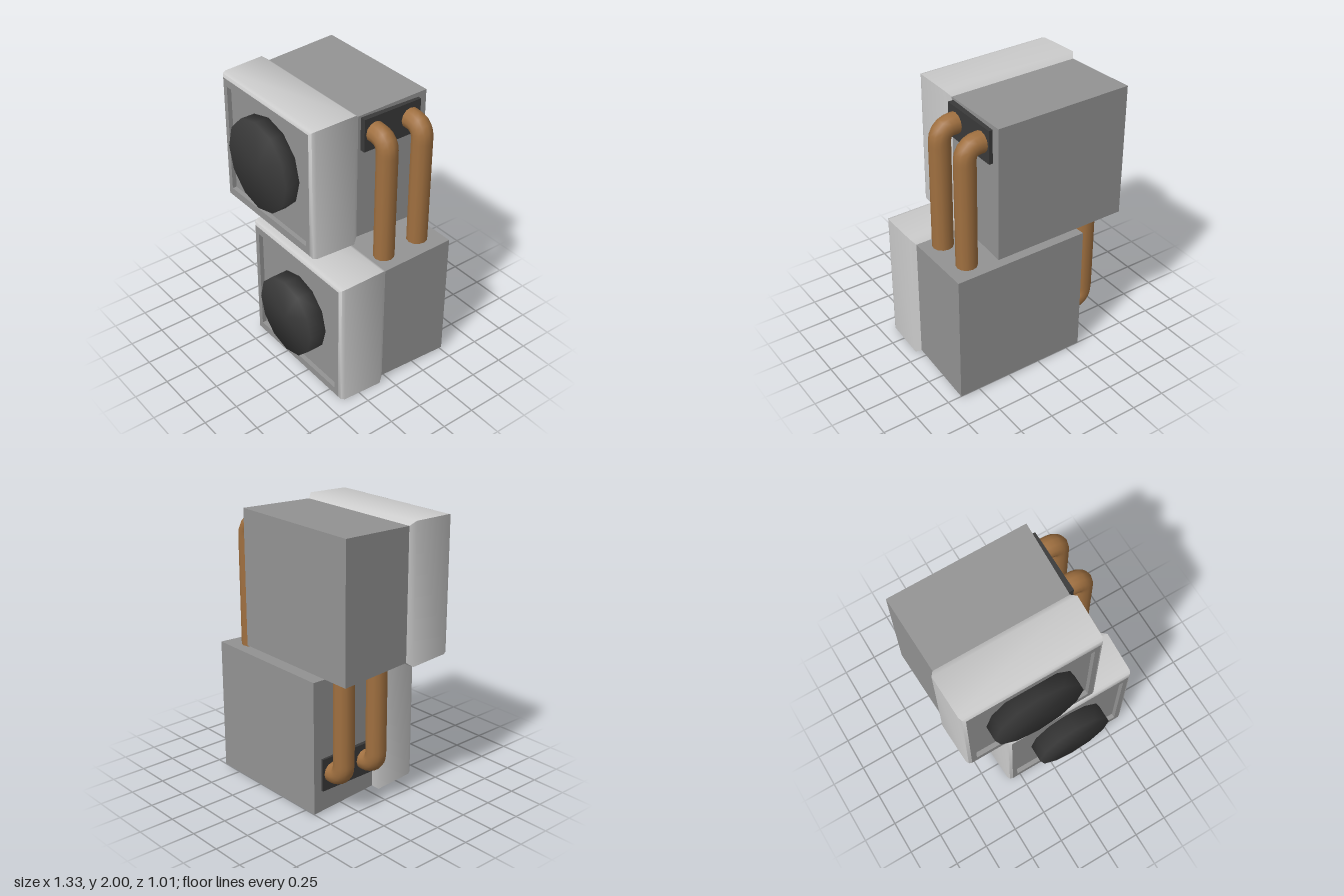
import * as THREE from 'three';
import { mergeVertices, toCreasedNormals } from 'three/addons/utils/BufferGeometryUtils.js';

const paint = (color) => new THREE.MeshStandardMaterial({ color });
const shellMat = paint(0xcccccc);
const casingMat = paint(0x939393);
const darkMat = paint(0x3a3a3a);
const copperMat = paint(0xa07040);

function add(parent, name, geometry, material, x = 0, y = 0, z = 0) {
  const mesh = new THREE.Mesh(geometry, material);
  mesh.name = name;
  mesh.position.set(x, y, z);
  parent.add(mesh);
  return mesh;
}

// Skin over rectangular rings [halfWidth, halfHeight, z], listed outside-in from the back
function loft(rings, capBack, capFront) {
  const pos = [];
  const idx = [];
  for (const [w, h, z] of rings) pos.push(-w, -h, z, w, -h, z, w, h, z, -w, h, z);
  for (let i = 0; i < rings.length - 1; i++) {
    for (let j = 0; j < 4; j++) {
      const a = i * 4 + j, b = i * 4 + (j + 1) % 4;
      idx.push(a, b, b + 4, a, b + 4, a + 4);
    }
  }
  const n = (rings.length - 1) * 4;
  if (capBack) idx.push(0, 2, 1, 0, 3, 2);
  if (capFront) idx.push(n, n + 1, n + 2, n, n + 2, n + 3);
  const g = new THREE.BufferGeometry();
  g.setAttribute('position', new THREE.Float32BufferAttribute(pos, 3));
  g.setIndex(idx);
  return toCreasedNormals(g, 0.9);
}

// Twelve-sided disc with soft shading across its rim
function discGeometry(radius, depth) {
  const g = new THREE.CylinderGeometry(radius, radius, depth, 12);
  g.rotateX(Math.PI / 2);
  g.deleteAttribute('normal');
  g.deleteAttribute('uv');
  const merged = mergeVertices(g);
  merged.computeVertexNormals();
  return merged;
}

// One cabinet: tapered casing, flared front shell, recessed panel and fan disc
function makeUnit(name, x, y, fan) {
  const unit = new THREE.Group();
  unit.name = name;
  unit.position.set(x, y, 0);
  add(unit, 'rearCasing', loft([[0.5, 0.48, -0.51], [0.483, 0.459, 0.035]], true, false), casingMat);
  add(unit, 'frontShell', loft([
    [0.483, 0.459, 0.035], [0.51, 0.49, 0.075], [0.5, 0.48, 0.375],
    [0.49, 0.472, 0.4], [0.47, 0.455, 0.412],
  ], false, false), shellMat);
  add(unit, 'frontPanel', loft([
    [0.47, 0.455, 0.412], [0.432, 0.4, 0.412], [0.432, 0.4, 0.38],
  ], false, true), casingMat);
  const back = 0.36;
  add(unit, 'fanDisc', discGeometry(fan.r, fan.front - back), darkMat,
    fan.x, fan.y, (fan.front + back) / 2);
  return unit;
}

// Pipe leaving a side wall, bending 90 degrees, then running vertically
function pipeGeometry(wallX, pipeX, bendY, endY) {
  const v = (x, y) => new THREE.Vector3(x, y, 0);
  const bend = 0.1;
  const sx = Math.sign(pipeX - wallX), sy = Math.sign(endY - bendY);
  const p1 = v(pipeX - sx * bend, bendY), p2 = v(pipeX, bendY + sy * bend);
  const path = new THREE.CurvePath();
  path.add(new THREE.LineCurve3(v(wallX, bendY), p1));
  path.add(new THREE.QuadraticBezierCurve3(p1, v(pipeX, bendY), p2));
  path.add(new THREE.LineCurve3(p2, v(pipeX, endY)));
  return new THREE.TubeGeometry(path, 36, 0.073, 12);
}

function makePipes(name, plateX, plateY, wallX, pipeX, bendY, endY) {
  const group = new THREE.Group();
  group.name = name;
  add(group, 'pipePlate', new THREE.BoxGeometry(0.04, 0.235, 0.46), darkMat, plateX, plateY, -0.215);
  for (const z of [-0.07, -0.36]) {
    add(group, 'copperPipe', pipeGeometry(wallX, pipeX, bendY, endY), copperMat, 0, 0, z);
  }
  return group;
}

export function createModel() {
  const model = new THREE.Group();
  model.name = 'stackedCoolingUnits';
  model.add(makeUnit('upperUnit', -0.155, 1.51, { x: 0, y: 0.025, r: 0.327, front: 0.485 }));
  model.add(makeUnit('lowerUnit', 0.152, 0.49, { x: -0.002, y: -0.01, r: 0.292, front: 0.505 }));
  // Upper pipes drop into the lower unit; lower pipes rise into the upper unit
  model.add(makePipes('upperPipes', 0.35, 1.838, 0.34, 0.492, 1.845, 0.93));
  model.add(makePipes('lowerPipes', -0.343, 0.285, -0.33, -0.475, 0.29, 1.08));
  return model;
}
